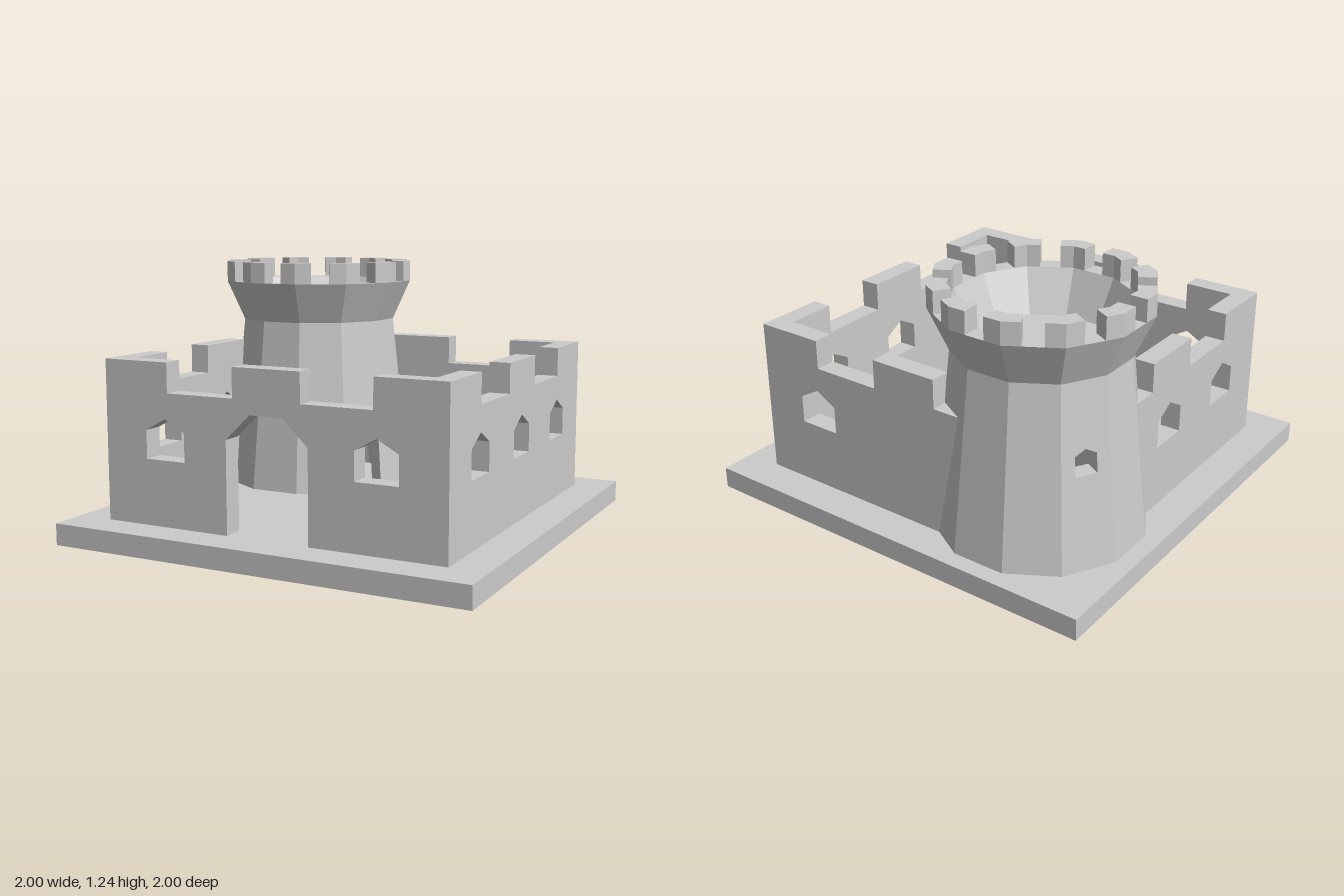
import * as THREE from 'three';

const material = new THREE.MeshStandardMaterial({ color: 0xcccccc, flatShading: true });
const GROUND = 0.1, SIDES = 12, STEP = Math.PI / 6, HALF = Math.tan(STEP / 2);
const toShape = pts => new THREE.Shape(pts.map(p => new THREE.Vector2(...p)));

function addMesh(parent, name, geometry, x = 0, y = 0, z = 0) {
  const mesh = new THREE.Mesh(geometry, material);
  mesh.name = name;
  mesh.position.set(x, y, z);
  parent.add(mesh);
  return mesh;
}

const extrude = (shape, depth) => new THREE.ExtrudeGeometry(shape, { depth, bevelEnabled: false });

// Peaked window opening
const peaked = (u, w, y0, y1, peak) => toShape(
  [[u - w, y0], [u + w, y0], [u + w, y1], [u, peak], [u - w, y1]]);

// Doorway with a chamfered arch, right foot to left foot
const doorway = (w, shoulder, top) =>
  [[w, GROUND], [w, shoulder], [w * 0.4, top], [-w * 0.4, top], [-w, shoulder], [-w, GROUND]];

// Crenellated wall; start is [u at foot, u at top, top height], end is u
const BATTLEMENT = [[-0.5, 0.835], [-0.5, 0.7], [-0.165, 0.7], [-0.165, 0.835],
  [0.165, 0.835], [0.165, 0.7], [0.5, 0.7], [0.5, 0.835]];

function wallGeometry([foot, top, height], end, windows, door = []) {
  const shape = toShape([[foot, GROUND], [top, height],
    ...BATTLEMENT.filter(p => p[0] > top), [end, 0.835], [end, GROUND], ...door]);
  windows.forEach(u => shape.holes.push(peaked(u, 0.1, 0.4, 0.53, 0.585)));
  return extrude(shape, 0.095);
}

// Distance from tower axis to the middle of an outer face
const apothem = y => 0.465 - 0.085 * (y - GROUND) / 0.84;

// One leaning, mitred side of the tower
function towerPanel(door, window) {
  const b = apothem(GROUND) * HALF, t = apothem(0.94) * HALF;
  const shape = toShape([[-b, GROUND], [-t, 0.94], [t, 0.94], [b, GROUND],
    ...(door ? doorway(0.0825, 0.4, 0.455) : [])]);
  if (window) shape.holes.push(peaked(0, 0.05, 0.53, 0.62, 0.645));
  const geo = extrude(shape, 1), pos = geo.attributes.position;
  for (let i = 0; i < pos.count; i++) {
    const x = pos.getX(i), y = pos.getY(i);
    const a = apothem(y) - 0.08 * (1 - pos.getZ(i));
    pos.setXYZ(i, Math.abs(x) > 0.09 ? Math.sign(x) * a * HALF : x, y, a);
  }
  geo.computeVertexNormals();
  return geo;
}

// Point on a face of the tower plan: face angle, apothem, offset along the face
const onFace = (angle, a, u) => [
  a * Math.cos(angle) - u * Math.sin(angle), a * Math.sin(angle) + u * Math.cos(angle)];

function createTower() {
  const tower = new THREE.Group();
  tower.name = 'tower';
  tower.position.set(-0.455, 0, -0.455);

  // Tapered body: door faces the yard, a small window faces outward
  for (let k = 0; k < SIDES; k++) {
    addMesh(tower, 'towerSide', towerPanel(k === 2, k === 8)).rotation.y = k * STEP;
  }

  // Flared parapet
  const profile = [[0.38, 0.94], [0.465, 1.135], [0.385, 1.135], [0.3, 0.94]]
    .map(([a, y]) => new THREE.Vector2(a / Math.cos(STEP / 2), y));
  addMesh(tower, 'parapet', new THREE.LatheGeometry(profile, SIDES, STEP / 2));

  // Upper floor with a square hatch
  const floor = toShape(Array.from({ length: SIDES }, (_, k) => onFace(k * STEP, 0.31, 0.31 * HALF)));
  floor.holes.push(toShape([[-0.2, -0.2], [-0.035, -0.2], [-0.035, -0.035], [-0.2, -0.035]]));
  addMesh(tower, 'upperFloor', extrude(floor, 0.06).rotateX(Math.PI / 2), 0, 0.94, 0);

  // Merlons wrapped around each corner
  const out = 0.465, inn = 0.385, gap = 0.045;
  for (let k = 0; k < SIDES; k++) {
    const a = k * STEP, b = a + STEP;
    const plan = toShape([onFace(a, out, gap), onFace(a, out, out * HALF), onFace(b, out, -gap),
      onFace(b, inn, -gap), onFace(a, inn, inn * HALF), onFace(a, inn, gap)]);
    addMesh(tower, 'towerMerlon', extrude(plan, 0.1).rotateX(Math.PI / 2), 0, 1.235, 0);
  }
  return tower;
}

export function createModel() {
  const castle = new THREE.Group();
  castle.name = 'castle';

  addMesh(castle, 'base', new THREE.BoxGeometry(2, GROUND, 2), 0, GROUND / 2, 0);

  // Walls; the back and right-hand walls run into the tower
  const intoTower = [-0.205, -0.305, 0.7];
  addMesh(castle, 'frontWall',
    wallGeometry([-0.83, -0.83, 0.835], 0.83, [-0.515, 0.515], doorway(0.2, 0.52, 0.635)), 0, 0, 0.735);
  addMesh(castle, 'backWall', wallGeometry(intoTower, 0.83, [0.515]), 0, 0, -0.83);
  addMesh(castle, 'leftWall',
    wallGeometry([-0.735, -0.735, 0.835], 0.735, [-0.5, 0, 0.5]), 0.83, 0, 0).rotation.y = -Math.PI / 2;
  addMesh(castle, 'rightWall',
    wallGeometry(intoTower, 0.735, [0, 0.5]), -0.735, 0, 0).rotation.y = -Math.PI / 2;

  castle.add(createTower());
  return castle;
}
